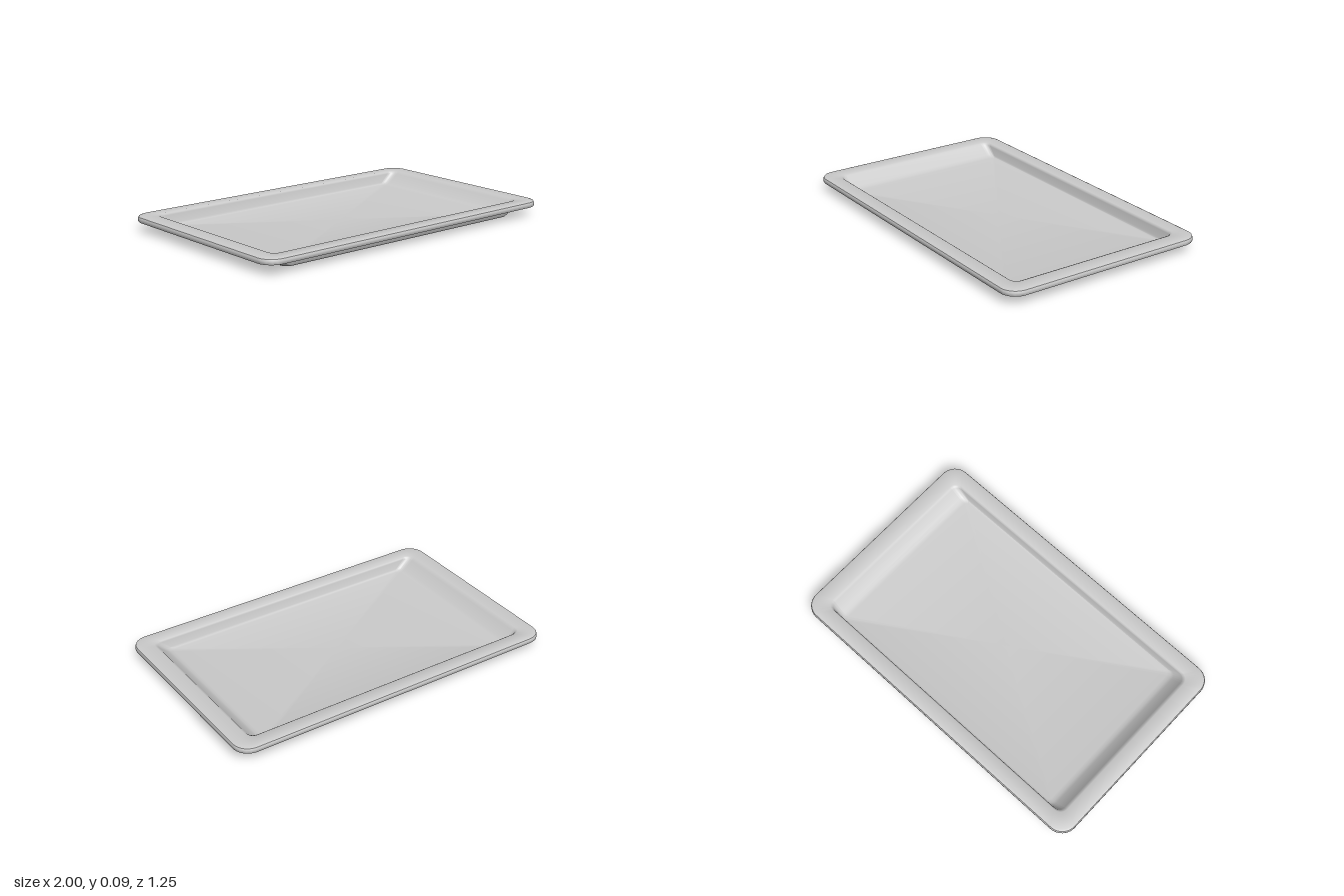
import * as THREE from 'three';
import { toCreasedNormals } from 'three/addons/utils/BufferGeometryUtils.js';

const CORNER_STEPS = 10;

// Rounded-rectangle ring at height y: half sizes hx, hz and corner radius r
function ring([hx, hz, r, y]) {
  const points = [];
  const signs = [[1, 1], [-1, 1], [-1, -1], [1, -1]];
  signs.forEach(([sx, sz], corner) => {
    for (let k = 0; k <= CORNER_STEPS; k++) {
      const a = (corner + k / CORNER_STEPS) * Math.PI / 2;
      points.push(sx * (hx - r) + r * Math.cos(a), y, sz * (hz - r) + r * Math.sin(a));
    }
  });
  return points;
}

// Skin a series of rings, closing the first and last with a centre point
function skin(sections) {
  const n = 4 * (CORNER_STEPS + 1);
  const positions = sections.flatMap(ring);
  const last = sections.length - 1;
  const startCentre = sections.length * n, endCentre = startCentre + 1;
  positions.push(0, sections[0][3], 0, 0, sections[last][3], 0);
  const index = [];
  for (let i = 0; i < n; i++) {
    const next = (i + 1) % n;
    index.push(startCentre, next, i);
    for (let j = 0; j < last; j++) {
      const a = j * n + i, c = j * n + next, b = a + n, d = c + n;
      index.push(a, c, b, b, c, d);
    }
    index.push(endCentre, last * n + i, last * n + next);
  }
  const geometry = new THREE.BufferGeometry();
  geometry.setAttribute('position', new THREE.Float32BufferAttribute(positions, 3));
  geometry.setIndex(index);
  return toCreasedNormals(geometry, 0.75);
}

export function createModel() {
  const group = new THREE.Group();
  group.name = 'servingTray';

  // Sheet profile, from the floor out over the rim and back underneath
  const sections = [
    // inside floor and walls: sloped ends, nearly upright long sides
    [0.79, 0.505, 0.02, 0.015],
    [0.812, 0.518, 0.03, 0.019],
    [0.83, 0.523, 0.035, 0.028],
    [0.885, 0.526, 0.04, 0.074],
    [0.893, 0.529, 0.045, 0.083],
    [0.905, 0.536, 0.05, 0.088],
    // flat rim and turned-down lip
    [0.985, 0.61, 0.085, 0.088],
    [0.996, 0.621, 0.091, 0.084],
    [1, 0.625, 0.095, 0.075],
    [1, 0.625, 0.095, 0.06],
    [0.997, 0.622, 0.092, 0.055],
    [0.988, 0.613, 0.085, 0.055],
    [0.985, 0.61, 0.082, 0.059],
    [0.985, 0.61, 0.082, 0.07],
    [0.981, 0.606, 0.078, 0.074],
    // underside of rim, outer walls and base
    [0.918, 0.546, 0.055, 0.074],
    [0.908, 0.541, 0.052, 0.068],
    [0.893, 0.54, 0.052, 0.055],
    [0.84, 0.538, 0.05, 0.013],
    [0.822, 0.533, 0.045, 0.004],
    [0.795, 0.522, 0.035, 0],
  ];
  const tray = new THREE.Mesh(
    skin(sections),
    new THREE.MeshStandardMaterial({ color: 0xcccccc })
  );
  tray.name = 'tray';
  group.add(tray);
  return group;
}
